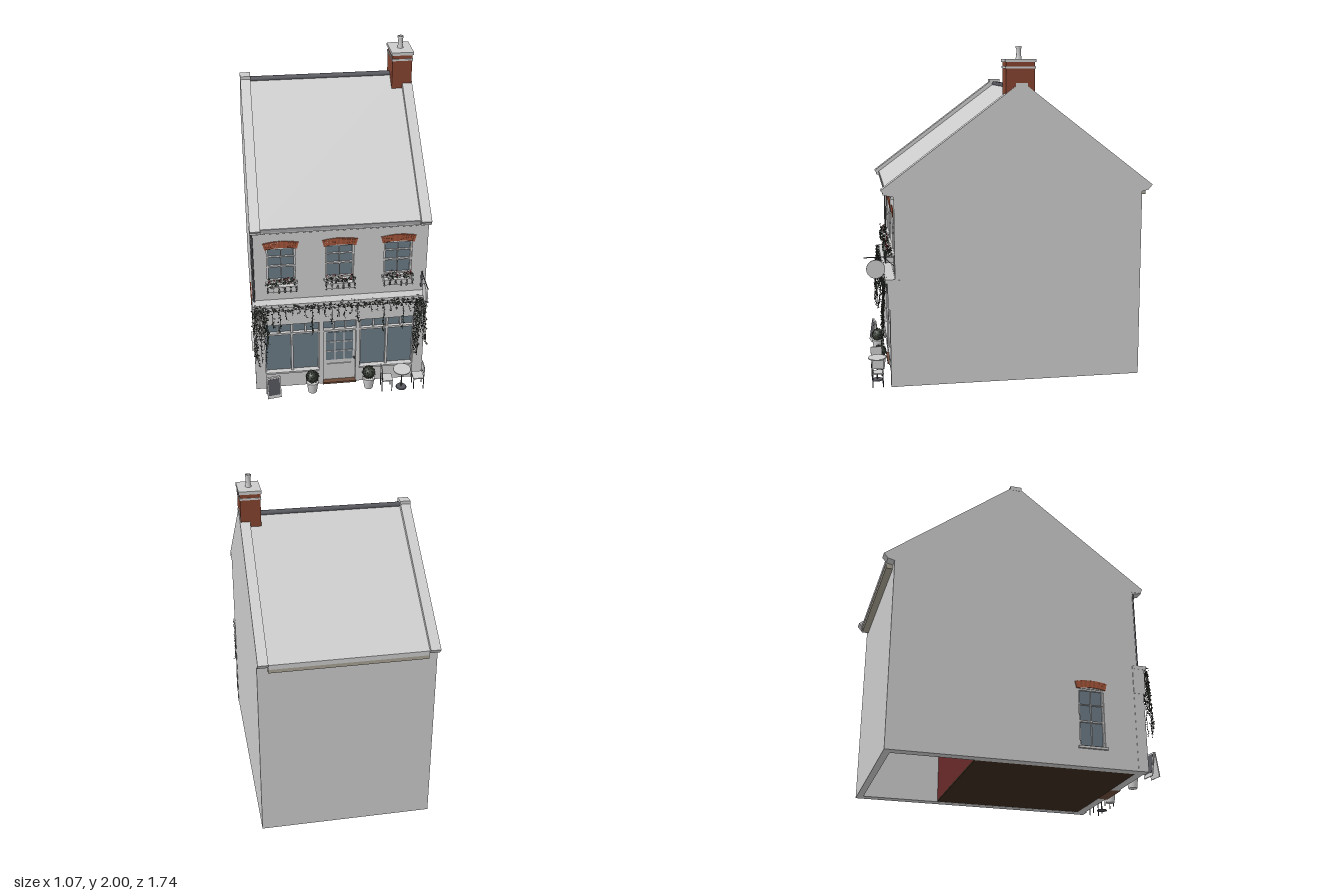
import * as THREE from 'three';
import { mergeGeometries } from 'three/addons/utils/BufferGeometryUtils.js';

const mats = {};
const mat = (color = 0xcccccc, double = false) =>
  (mats[color + '-' + double] ??= new THREE.MeshStandardMaterial({ color, side: double ? THREE.DoubleSide : THREE.FrontSide }));
const GLASS = 0x6b7a85, BRICK = 0x84432f, ARCH = 0xa8563a, LEAF = 0x3b4238, DARK = 0x55565c;

let seed = 7;
const rnd = (a = 0, b = 1) => {
  seed = (seed * 16807) % 2147483647;
  return a + (b - a) * seed / 2147483647;
};

export function createModel() {
  const root = new THREE.Group();
  const add = (name, geo, color, p = root, double = false) => {
    const m = new THREE.Mesh(geo, mat(color, double));
    m.name = name;
    p.add(m);
    return m;
  };
  const box = (name, x0, x1, y0, y1, z0, z1, color, p) => {
    const m = add(name, new THREE.BoxGeometry(x1 - x0, y1 - y0, z1 - z0), color, p);
    m.position.set((x0 + x1) / 2, (y0 + y1) / 2, (z0 + z1) / 2);
    return m;
  };
  const cyl = (name, rt, rb, h, x, y, z, color, p, n = 20) => {
    const m = add(name, new THREE.CylinderGeometry(rt, rb, h, n), color, p);
    m.position.set(x, y, z);
    return m;
  };
  const group = (name, x = 0, y = 0, z = 0) => {
    const g = new THREE.Group();
    g.name = name;
    g.position.set(x, y, z);
    root.add(g);
    return g;
  };
  const shapeOf = pts => new THREE.Shape(pts.map(p => new THREE.Vector2(...p)));
  const rect = (x0, x1, y0, y1) => shapeOf([[x0, y0], [x1, y0], [x1, y1], [x0, y1]]);
  // Side profile in (z, y), extruded along x from x0 to x1
  const profile = (name, pts, x0, x1, color, hole) => {
    const s = shapeOf(pts);
    if (hole) s.holes.push(hole);
    const g = new THREE.ExtrudeGeometry(s, { depth: x1 - x0, bevelEnabled: false }).rotateY(-Math.PI / 2);
    add(name, g, color).position.x = x1;
  };

  // Gable walls, standing proud of the roof
  const gable = [[0.715, 0], [0.715, 0.62], [0.69, 0.62], [0.69, 1.14], [0.74, 1.15], [0.765, 1.18], [-0.03, 1.775],
    [-0.09, 1.775], [-0.865, 1.18], [-0.84, 1.15], [-0.8, 1.14], [-0.8, 0]];
  profile('leftGable', gable, 0.465, 0.525);
  profile('rightGable', gable, -0.515, -0.455, undefined, rect(0.31, 0.465, 0.12, 0.47));
  for (const x of [-0.515, 0.465]) {
    box('gableApex', x - 0.001, x + 0.061, 1.762, 1.79, -0.095, -0.025);
    box('kneelerFront', x - 0.002, x + 0.062, 1.152, 1.178, 0.69, 0.752);
  }

  // Back wall, roof slopes, ridge and gutters
  box('backWall', -0.456, 0.466, 0, 1.15, -0.8, -0.76);
  profile('roof', [[0.735, 1.175], [-0.06, 1.765], [-0.845, 1.168], [-0.845, 1.14], [-0.06, 1.73], [0.735, 1.145]], -0.456, 0.466);
  const ridge = cyl('ridgeTiles', 0.018, 0.018, 0.92, 0.005, 1.758, -0.06, DARK, root, 12);
  ridge.rotation.z = Math.PI / 2;
  box('backGutter', -0.455, 0.465, 1.115, 1.15, -0.84, -0.8, 0xa8a294);
  box('frontGutter', -0.455, 0.465, 1.155, 1.175, 0.69, 0.74, 0xa0a0a4);
  for (let i = 0; i < 26; i++) {
    const x = -0.48 + i * 0.0386;
    box('dentil', x, x + 0.014, 1.12, 1.15, 0.685, 0.705);
  }
  cyl('downpipe', 0.006, 0.006, 0.5, -0.505, 0.9, 0.698, DARK, root, 10);

  // Chimney
  const chim = group('chimney', 0.46, 0, -0.052);
  box('stack', -0.06, 0.06, 1.69, 1.91, -0.085, 0.085, BRICK, chim);
  box('band', -0.064, 0.064, 1.873, 1.885, -0.089, 0.089, undefined, chim);
  box('cap', -0.067, 0.067, 1.908, 1.927, -0.092, 0.092, undefined, chim);
  const pot = new THREE.LatheGeometry([[0.019, 1.925], [0.014, 1.95], [0.014, 1.985], [0.018, 1.99], [0.018, 2], [0.011, 2], [0.01, 1.93]]
    .map(p => new THREE.Vector2(...p)), 18);
  add('chimneyPot', pot, undefined, chim, true);

  // Hollow interior
  box('floor', -0.455, 0.465, 0.001, 0.012, -0.29, 0.69, 0x3a2a1e);
  box('innerWall', -0.455, 0.465, 0.012, 1.1, -0.29, -0.27, 0x6a2a2a);

  // Upper front wall with window openings
  const front = rect(-0.456, 0.466, 0.6, 1.15), centres = [-0.34, 0.005, 0.35];
  for (const x of centres) front.holes.push(rect(x - 0.083, x + 0.083, 0.785, 1.012));
  add('upperFrontWall', new THREE.ExtrudeGeometry(front, { depth: 0.04, bevelEnabled: false })).position.z = 0.65;

  // Sash window with a brick arch, set in an opening w by h
  function sashWindow(g, w, h) {
    const a = w / 2, f = 0.009;
    box('glass', -a, a, 0, h, -0.025, -0.018, GLASS, g);
    for (const x of [-a, -f / 4, a - f]) box('sashStile', x, x + (x > -a && x < 0 ? f / 2 : f), 0, h, -0.02, -0.008, undefined, g);
    for (const [y, t] of [[0, f], [h * 0.42, f], [h * 0.72, f / 2], [h - f, f]]) box('sashRail', -a, a, y, y + t, -0.02, -0.006, undefined, g);
    box('sill', -a - 0.012, a + 0.012, -0.014, 0, -0.02, 0.014, undefined, g);
    const R = 0.42, n = 14;
    for (let i = 0; i < n; i++) {
      const t = ((i + 0.5) / n - 0.5) * (w + 0.035) / R;
      const b = add('archBrick', new THREE.BoxGeometry(0.0135, 0.044, 0.02), i % 2 ? ARCH : 0x985038, g);
      b.position.set(Math.sin(t) * R, h + 0.03 - R * (1 - Math.cos(t)), -0.004);
      b.rotation.z = -t;
    }
  }
  for (const x of centres) sashWindow(group('upperWindow', x, 0.785, 0.69), 0.166, 0.227);
  const side = group('sideWindow', -0.515, 0.12, 0.3875);
  side.rotation.y = -Math.PI / 2;
  sashWindow(side, 0.155, 0.35);

  // Shopfront
  const shop = group('shopfront');
  const bx = (n, ...a) => box(n, ...a.slice(0, 6), a[6], shop);
  bx('fascia', -0.515, 0.525, 0.485, 0.605, 0.67, 0.72);
  bx('corniceLower', -0.518, 0.528, 0.6, 0.632, 0.67, 0.735);
  bx('corniceUpper', -0.52, 0.53, 0.632, 0.655, 0.67, 0.748);
  for (const x of [-0.515, 0.465]) {
    bx('pilaster', x - 0.002, x + 0.062, 0, 0.485, 0.66, 0.722);
    bx('console', x - 0.004, x + 0.064, 0.475, 0.65, 0.66, 0.734);
  }
  for (const [x0, x1] of [[-0.455, -0.12], [0.13, 0.465]]) {
    bx('stallriser', x0, x1, 0, 0.113, 0.66, 0.712);
    bx('shopSill', x0, x1, 0.108, 0.12, 0.66, 0.722);
    bx('shopGlass', x0, x1, 0.115, 0.49, 0.68, 0.69, GLASS);
    bx('transom', x0, x1, 0.4, 0.413, 0.68, 0.71);
    for (let i = 0; i <= 4; i++) {
      const x = x0 + (x1 - x0) * i / 4;
      if (i % 2 === 0) bx('mullion', x - 0.007, x + 0.007, 0.115, 0.49, 0.68, 0.708);
      else bx('transomBar', x - 0.005, x + 0.005, 0.41, 0.49, 0.68, 0.706);
    }
  }
  for (const x of [-0.12, 0.106]) bx('doorPost', x, x + 0.024, 0, 0.49, 0.66, 0.716);
  bx('doorTransom', -0.1, 0.11, 0.4, 0.415, 0.67, 0.71);
  bx('doorTransomGlass', -0.1, 0.11, 0.41, 0.49, 0.68, 0.69, GLASS);
  for (const x of [-0.03, 0.04]) bx('transomBar', x - 0.004, x + 0.004, 0.41, 0.49, 0.68, 0.704);
  bx('door', -0.1, 0.11, 0.012, 0.4, 0.67, 0.694);
  bx('doorGlass', -0.078, 0.09, 0.17, 0.385, 0.69, 0.697, GLASS);
  for (const x of [-0.022, 0.034]) bx('doorBar', x - 0.003, x + 0.003, 0.17, 0.385, 0.69, 0.701);
  for (const y of [0.24, 0.313]) bx('doorRail', -0.078, 0.09, y - 0.003, y + 0.003, 0.69, 0.701);
  bx('doorPanel', -0.07, 0.08, 0.04, 0.14, 0.69, 0.699);
  bx('doorStep', -0.1, 0.11, 0, 0.013, 0.66, 0.725, 0x6b4a38);
  cyl('doorKnob', 0.006, 0.006, 0.02, 0.099, 0.18, 0.7, DARK, shop, 8).rotation.x = Math.PI / 2;

  // Leaves: small turned discs merged into one mesh
  const foliage = (name, pts, size, color = LEAF) => add(name, mergeGeometries(pts.map(p =>
    new THREE.CircleGeometry(size * rnd(0.7, 1.2), 5).scale(0.7, 1, 1).rotateX(rnd(-0.9, 0.9)).rotateY(rnd(-1.3, 1.3))
      .rotateZ(rnd(-2, 2)).translate(...p))), color, root, true);
  const vine = [], stems = [];
  function strand(x, len, drift) {
    const y0 = rnd(0.61, 0.64), z0 = rnd(0.748, 0.762), lean = rnd(0.01, 0.03);
    const at = t => [x + drift * t + 0.004 * Math.sin(t * 14 + x * 60), y0 - len * t, z0 + lean * t];
    stems.push(new THREE.TubeGeometry(new THREE.CatmullRomCurve3([0, 0.33, 0.67, 1].map(t => new THREE.Vector3(...at(t)))), 8, 0.0014, 4));
    for (let d = 0; d < len; d += 0.011) {
      const p = at(d / len);
      vine.push([p[0] + rnd(-0.007, 0.007), p[1], p[2] + rnd(-0.006, 0.006)]);
    }
  }
  for (let i = 0; i < 420; i++) vine.push([rnd(-0.515, 0.525), rnd(0.605, 0.655), rnd(0.738, 0.768)]);
  for (let i = 0; i < 22; i++) strand(-0.4 + i * 0.039, rnd(0, 1) > 0.6 ? rnd(0.1, 0.2) : rnd(0.02, 0.08), 0);
  for (let i = 0; i < 11; i++) {
    strand(-0.52 + i * 0.008, i < 3 ? rnd(0.36, 0.44) : rnd(0.15, 0.4), 0.008);
    strand(0.452 + i * 0.0072, i < 5 ? rnd(0.32, 0.43) : rnd(0.15, 0.34), 0.002);
  }
  foliage('vineLeaves', vine, 0.0078);
  add('vineStems', mergeGeometries(stems), LEAF);

  // Window boxes with flowers
  for (const x of centres) {
    box('windowBox', x - 0.083, x + 0.083, 0.735, 0.772, 0.69, 0.732);
    const green = [], red = [];
    for (let i = 0; i < 75; i++) green.push([x + rnd(-0.09, 0.09), rnd(0.768, 0.812), rnd(0.698, 0.738)]);
    for (let i = 0; i < 24; i++) green.push([x + (i % 6 - 2.5) * 0.034, 0.77 - Math.floor(i / 6) * 0.011, 0.739]);
    for (let i = 0; i < 16; i++) red.push([x + rnd(-0.08, 0.08), rnd(0.795, 0.825), rnd(0.705, 0.738)]);
    foliage('boxLeaves', green, 0.0085);
    foliage('flowers', red, 0.0075, 0x8a2a30);
  }

  // Potted topiary
  for (const x of [-0.17, 0.182]) {
    cyl('planter', 0.036, 0.027, 0.072, x, 0.036, 0.775);
    cyl('planterRim', 0.04, 0.04, 0.012, x, 0.074, 0.775);
    add('topiaryBall', new THREE.IcosahedronGeometry(0.038, 2), LEAF).position.set(x, 0.115, 0.775);
    const pts = [];
    for (let i = 0; i < 110; i++) {
      const y = 1 - 2 * (i + 0.5) / 110, r = Math.sqrt(1 - y * y), a = i * 2.4;
      pts.push([x + 0.039 * r * Math.cos(a), 0.115 + 0.039 * y, 0.775 + 0.039 * r * Math.sin(a)]);
    }
    foliage('topiaryLeaves', pts, 0.007);
  }

  // Hanging round sign
  cyl('signArm', 0.003, 0.003, 0.18, 0.5, 0.785, 0.78, DARK, root, 8).rotation.x = Math.PI / 2;
  cyl('signDisc', 0.055, 0.055, 0.01, 0.5, 0.715, 0.8, undefined, root, 32).rotation.z = Math.PI / 2;
  box('signPlate', 0.494, 0.506, 0.68, 0.79, 0.69, 0.695, DARK);
  const brace = cyl('signBrace', 0.002, 0.002, 0.085, 0.5, 0.755, 0.72, DARK, root, 6);
  brace.rotation.x = 0.8;

  // Folding pavement board
  const board = group('pavementBoard', -0.412, 0, 0.79);
  board.rotation.y = 0.15;
  for (const s of [-1, 1]) {
    const leaf = new THREE.Group();
    leaf.position.set(0, 0.145, s * 0.003);
    leaf.rotation.x = -s * 0.15;
    board.add(leaf);
    box('boardFrame', -0.043, 0.043, -0.146, 0, -0.003, 0.003, undefined, leaf);
    box('boardFace', -0.036, 0.036, -0.125, -0.01, s * 0.002 - 0.002, s * 0.002 + 0.002, DARK, leaf);
  }

  // Cafe table and chairs
  cyl('tableTop', 0.054, 0.054, 0.006, 0.385, 0.14, 0.8, undefined, root, 28);
  cyl('tableStem', 0.004, 0.004, 0.135, 0.385, 0.07, 0.8, DARK, root, 8);
  cyl('tableFoot', 0.03, 0.034, 0.006, 0.385, 0.003, 0.8, DARK);
  for (const [x, s] of [[0.29, -1], [0.487, 1]]) {
    const c = group('chair', x, 0, 0.8);
    box('seat', -0.034, 0.034, 0.08, 0.087, -0.034, 0.034, undefined, c);
    for (const z of [-0.03, 0.03]) {
      cyl('frontLeg', 0.003, 0.003, 0.082, -s * 0.03, 0.041, z, DARK, c, 6);
      cyl('backLeg', 0.003, 0.003, 0.168, s * 0.032, 0.084, z, DARK, c, 6);
    }
    box('backRest', s * 0.032 - 0.003, s * 0.032 + 0.003, 0.115, 0.168, -0.034, 0.034, undefined, c);
  }
  return root;
}
